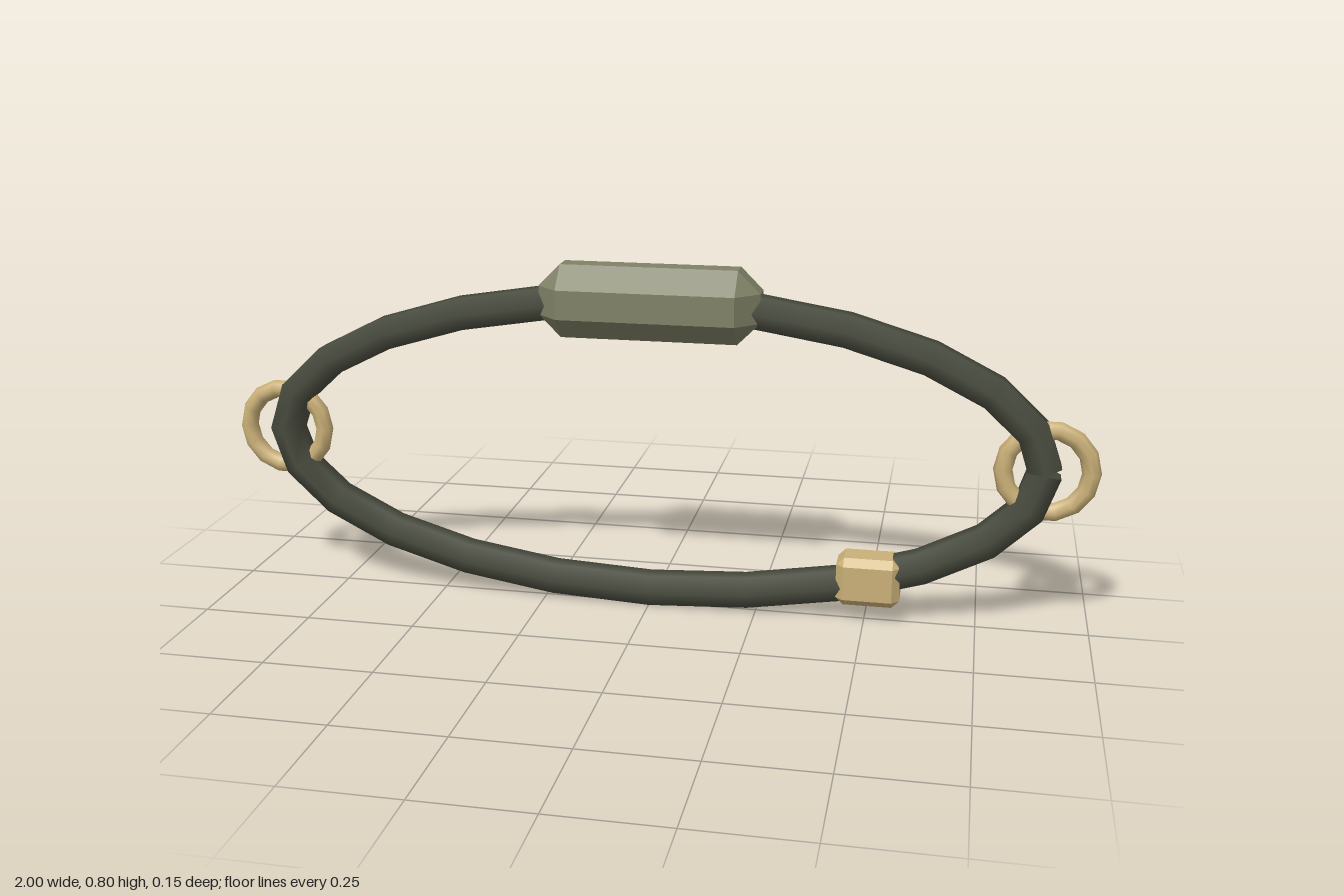
import * as THREE from 'three';
import { ConvexGeometry } from 'three/addons/geometries/ConvexGeometry.js';

const RX = 0.88, RY = 0.342, CY = 0.378;

// Box with every edge cut by a flat bevel
function bevelledBox(w, h, d, b) {
  const half = [w / 2, h / 2, d / 2], points = [];
  for (const sx of [-1, 1]) for (const sy of [-1, 1]) for (const sz of [-1, 1])
    for (let axis = 0; axis < 3; axis++) {
      const p = half.map((v, i) => (i === axis ? v : v - b));
      points.push(new THREE.Vector3(p[0] * sx, p[1] * sy, p[2] * sz));
    }
  return new ConvexGeometry(points);
}

export function createModel() {
  const group = new THREE.Group();
  const material = (name, color) => Object.assign(new THREE.MeshStandardMaterial({ color }), { name });
  const cord = material('dark olive cord', 0x474a3d);
  const olive = material('olive grip', 0x7f8166);
  const brass = material('brass', 0xcab078);
  cord.side = THREE.DoubleSide;

  const add = (name, geometry, mat, x, y) => {
    const mesh = new THREE.Mesh(geometry, mat);
    mesh.name = name;
    mesh.position.set(x, y, 0);
    group.add(mesh);
  };

  // Hexagonal cord along an ellipse, its two ends meeting at +x
  const steps = 24, path = [];
  for (let i = 0; i <= steps; i++) {
    const a = (i / steps) * Math.PI * 2;
    path.push(new THREE.Vector3(RX * Math.cos(a), RY * Math.sin(a), 0));
  }
  const curve = new THREE.CatmullRomCurve3(path);
  curve.getPointAt = curve.getPoint; // rings at equal angles
  curve.getTangentAt = curve.getTangent;
  add('strapLoop', new THREE.TubeGeometry(curve, steps, 0.042, 6, false), cord, 0, CY);

  // Grip on top and clasp low on the left
  add('grip', bevelledBox(0.5, 0.166, 0.15, 0.05), olive, 0, 0.717);
  add('clasp', bevelledBox(0.144, 0.113, 0.095, 0.017), brass, 0.507, 0.099);

  // Round rings at both ends
  for (const [name, s] of [['leftRing', 1], ['rightRing', -1]])
    add(name, new THREE.TorusGeometry(0.095, 0.021, 8, 14), brass, s * 0.884, CY);

  return group;
}
